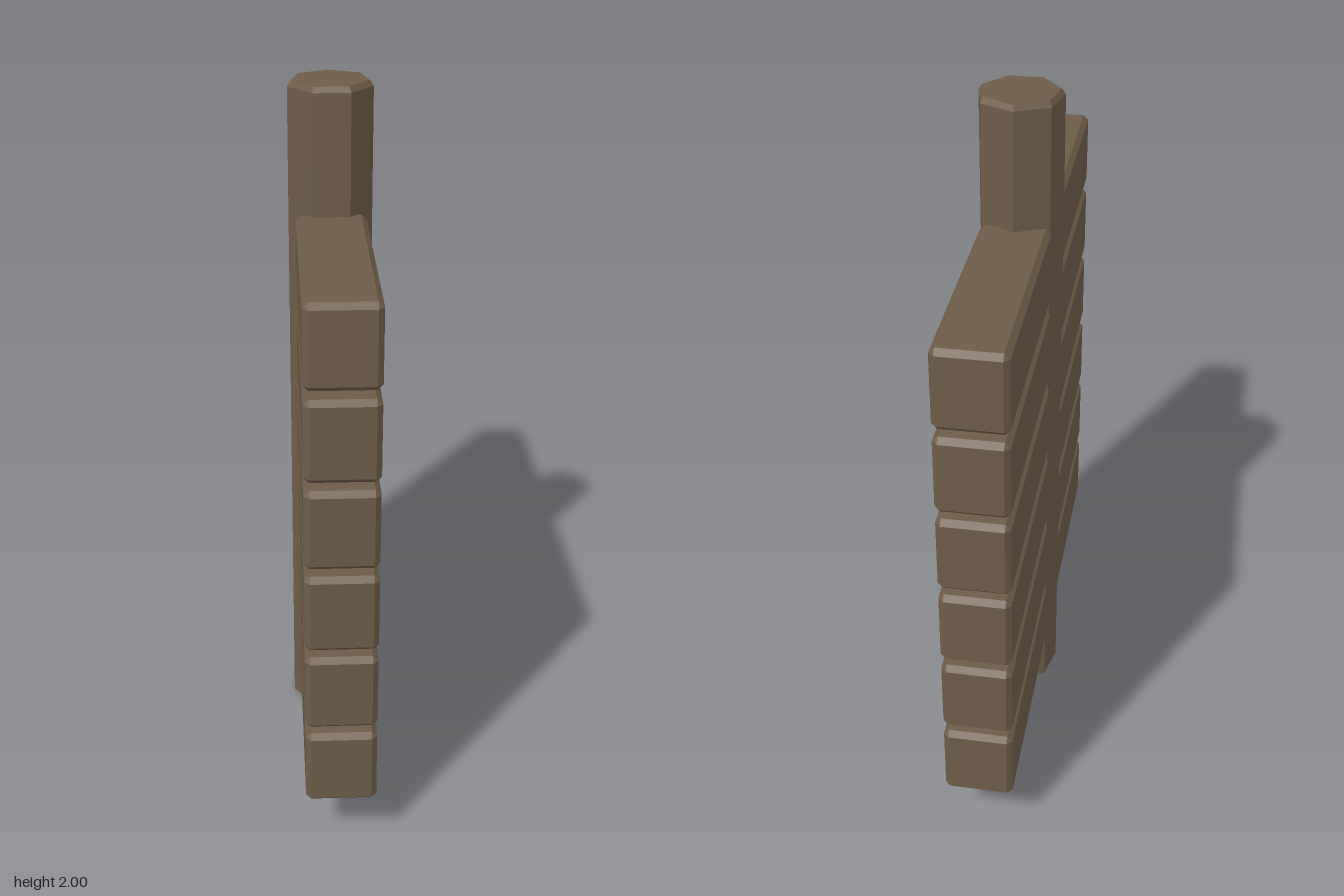
import * as THREE from 'three';
import { ConvexGeometry } from 'three/addons/geometries/ConvexGeometry.js';

// Box with every edge cut flat by c
function chamferedBox(w, h, d, c) {
  const points = [];
  for (const sx of [-1, 1]) for (const sy of [-1, 1]) for (const sz of [-1, 1]) {
    const x = w / 2, y = h / 2, z = d / 2;
    points.push(
      new THREE.Vector3(sx * x, sy * (y - c), sz * (z - c)),
      new THREE.Vector3(sx * (x - c), sy * y, sz * (z - c)),
      new THREE.Vector3(sx * (x - c), sy * (y - c), sz * z)
    );
  }
  return new ConvexGeometry(points);
}

export function createModel() {
  const model = new THREE.Group();
  model.name = 'plankedPost';

  const wood = new THREE.MeshStandardMaterial({ color: 0x6e5c48 });
  wood.name = 'brown wood';
  wood.flatShading = true;

  // Seven-sided post, one corner pointing back, with a chamfered top
  const profile = [[0, 0], [0.12, 0], [0.12, 1.985], [0.11, 2], [0, 2]]
    .map(([r, y]) => new THREE.Vector2(r, y));
  const post = new THREE.Mesh(new THREE.LatheGeometry(profile, 7, Math.PI), wood);
  post.name = 'post';
  model.add(post);

  // Six pairs of planks, front and back
  const inner = 0.07, outer = 0.756;
  const plankGeometry = chamferedBox(0.196, 0.228, outer - inner, 0.015);
  for (const [side, name] of [[1, 'frontPlank'], [-1, 'backPlank']]) {
    for (let i = 0; i < 6; i++) {
      const plank = new THREE.Mesh(plankGeometry, wood);
      plank.name = name + (i + 1);
      plank.position.set(0, 0.276 + i * 0.251, side * (inner + outer) / 2);
      model.add(plank);
    }
  }
  return model;
}
